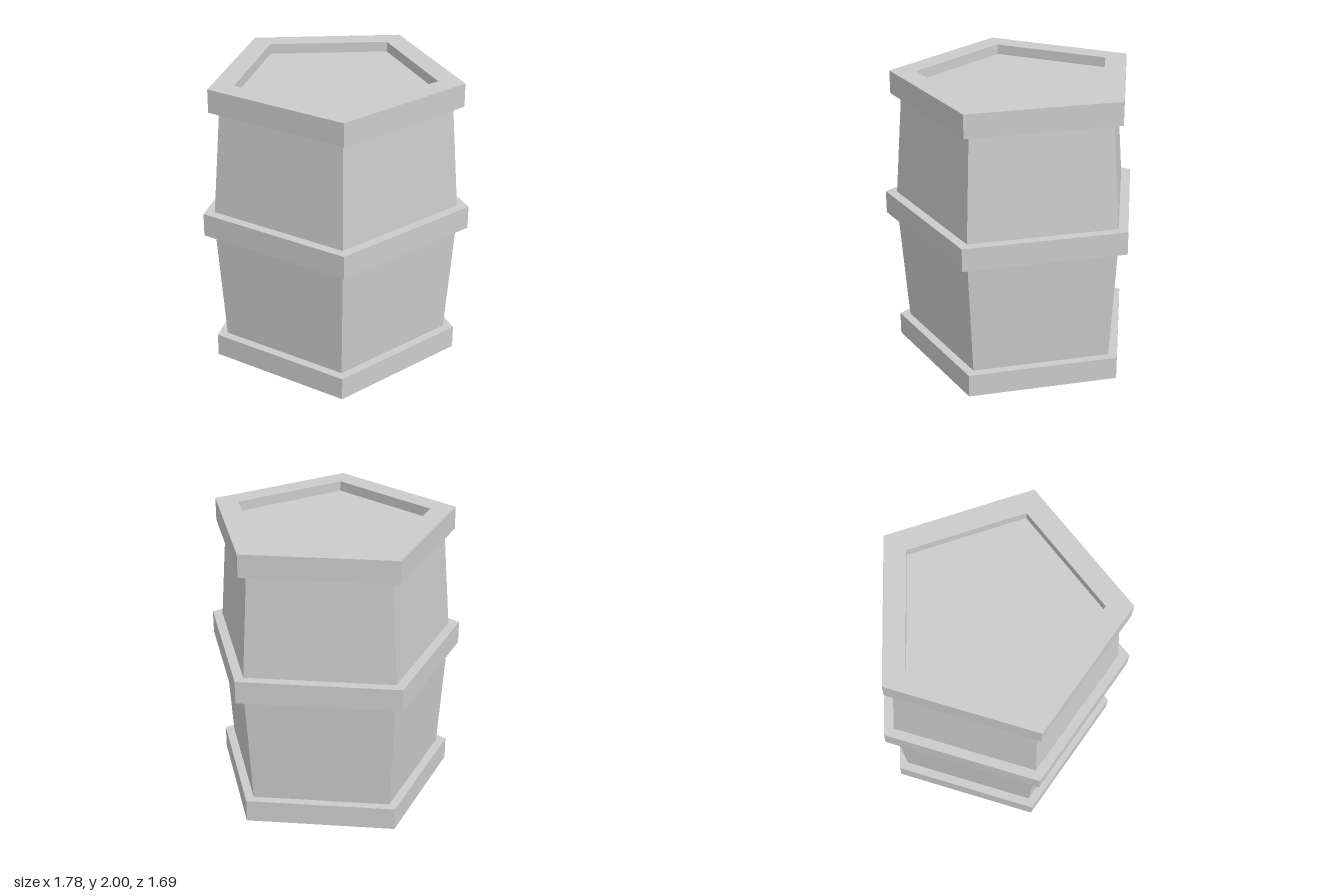
import * as THREE from 'three';

const SIDES = 5;
const CENTRE_Z = 0.09; // centres the pentagon's bounds on z = 0

// [radius, height] profiles, bottom to top; together they form one open-bottomed shell
const PARTS = {
  bottomBand: [[0.873, 0], [0.873, 0.16], [0.8, 0.16]],
  lowerBody: [[0.8, 0.16], [0.857, 0.96]],
  middleBand: [[0.857, 0.96], [0.936, 0.96], [0.936, 1.12], [0.857, 1.12]],
  upperBody: [[0.857, 1.12], [0.8, 1.84]],
  topRim: [[0.8, 1.84], [0.873, 1.84], [0.873, 2], [0.694, 2], [0.694, 1.93]],
};

export function createModel() {
  const barrel = new THREE.Group();
  barrel.name = 'barrel';
  const material = new THREE.MeshStandardMaterial({
    color: 0xcccccc, flatShading: true, side: THREE.DoubleSide,
  });

  const add = (name, geometry) => {
    const flat = geometry.toNonIndexed();
    flat.computeVertexNormals();
    const mesh = new THREE.Mesh(flat, material);
    mesh.name = name;
    mesh.position.z = CENTRE_Z;
    barrel.add(mesh);
    return mesh;
  };

  // Five-sided bands and staves, with a corner at the back
  for (const [name, profile] of Object.entries(PARTS)) {
    const points = profile.map(([r, y]) => new THREE.Vector2(r, y));
    add(name, new THREE.LatheGeometry(points, SIDES, Math.PI));
  }

  // Recessed lid
  const lid = new THREE.CircleGeometry(0.694, SIDES, Math.PI / 2).rotateX(-Math.PI / 2);
  add('lid', lid).position.y = 1.93;

  return barrel;
}
